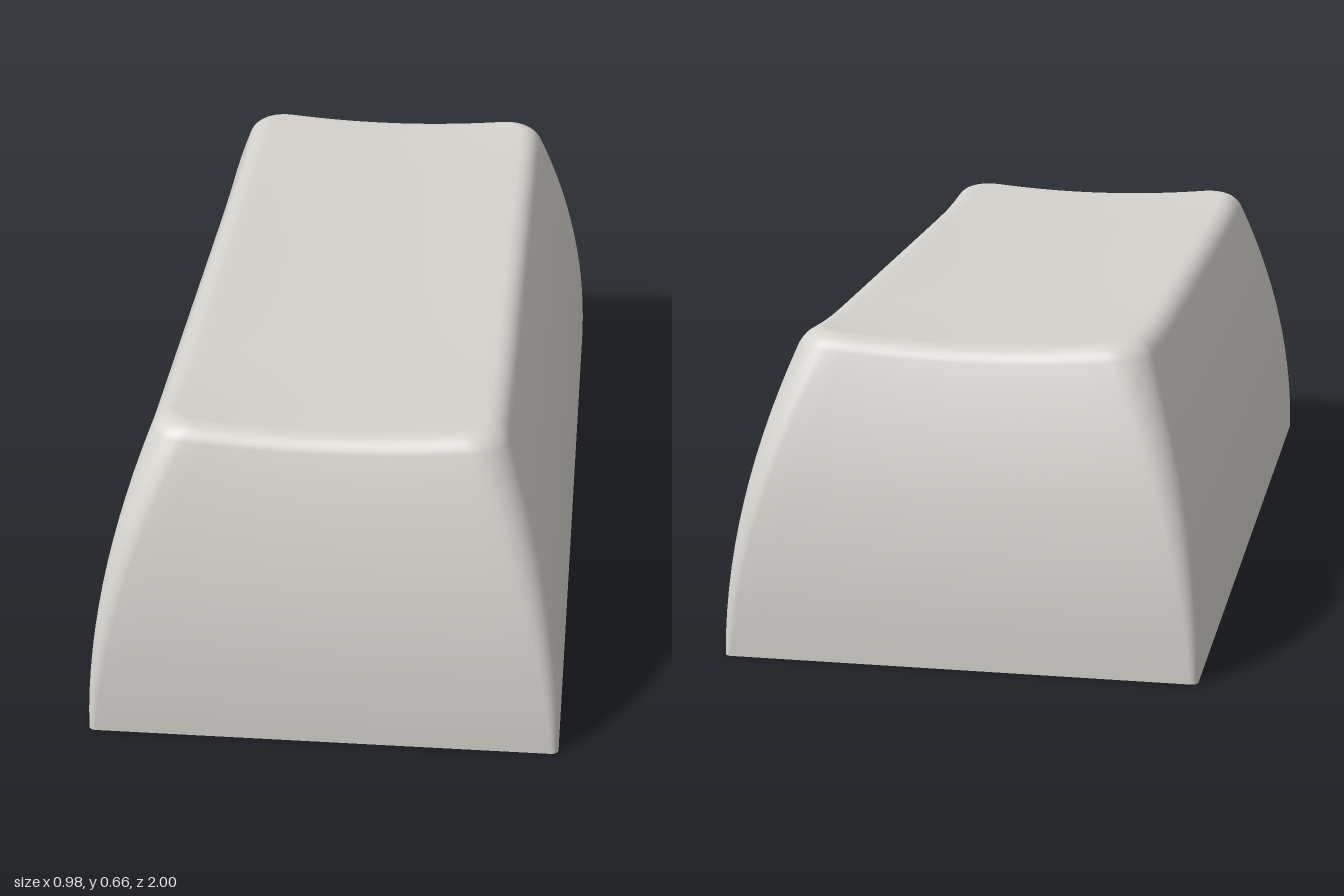
import * as THREE from 'three';
import { toCreasedNormals } from 'three/addons/utils/BufferGeometryUtils.js';

const ARC = 7, SIDE = 16;

// Rounded rectangle in the xz plane, as [x, z] points
function roundedRect(hx, hz, r) {
  const corners = [[1, 1], [-1, 1], [-1, -1], [1, -1]].map(([sx, sz], q) =>
    Array.from({ length: ARC }, (_, i) => {
      const a = (q + i / (ARC - 1)) * Math.PI / 2;
      return [sx * (hx - r) + r * Math.cos(a), sz * (hz - r) + r * Math.sin(a)];
    }));
  const pts = [];
  corners.forEach((arc, q) => {
    pts.push(...arc);
    const a = arc[ARC - 1], b = corners[(q + 1) % 4][0];
    for (let i = 1; i < SIDE; i++) {
      const t = i / SIDE;
      pts.push([a[0] + (b[0] - a[0]) * t, a[1] + (b[1] - a[1]) * t]);
    }
  });
  return pts;
}

// Skin a stack of closed rings of [x, y, z] points
function loft(rings) {
  const n = rings[0].length, index = [];
  for (let i = 0; i < rings.length - 1; i++) {
    for (let j = 0; j < n; j++) {
      const a = i * n + j, b = i * n + (j + 1) % n;
      index.push(a, a + n, b, b, a + n, b + n);
    }
  }
  const g = new THREE.BufferGeometry();
  g.setAttribute('position', new THREE.Float32BufferAttribute(rings.flat(2), 3));
  g.setIndex(index);
  g.computeVertexNormals();
  return g;
}

// Height of the top: raised corners and a shallow dish
function topHeight(x, z) {
  const u = Math.min(1, Math.abs(x) / 0.32);
  const w = Math.min(1, Math.max(0, (Math.abs(z) - 0.5) / 0.33));
  const dish = 0.01 * (1 - u * u) * (1 - Math.min(1, (z / 0.83) ** 2));
  return 0.64 + 0.02 * u * u * w * w - dish;
}

// Bowed sides, a rounded upper edge, then the dished top
function shellGeometry() {
  const rings = [];
  const sideRing = (y) => {
    const k = (y / 0.65) ** 2, bow = 0.14 * k;
    return roundedRect(0.49 - bow, 1 - bow, 0.015 + 0.065 * y / 0.65);
  };
  const edge = roundedRect(0.352, 0.862, 0.08);
  const inset = roundedRect(0.318, 0.828, 0.05);
  const rim = inset.map(([x, z]) => topHeight(x, z));
  const start = 0.61;
  for (let i = 0; i <= 14; i++) {
    const t = i / 14;
    rings.push(sideRing(start * t).map(([x, z], j) => [x, (rim[j] - 0.03) * t, z]));
  }
  const base = rings[rings.length - 1];
  for (let i = 1; i <= 6; i++) {
    const t = i / 6, a = (1 - t) ** 2, b = 2 * t * (1 - t), c = t * t;
    rings.push(base.map((p, j) => [
      a * p[0] + b * edge[j][0] + c * inset[j][0],
      a * p[1] + (b + c) * rim[j],
      a * p[2] + b * edge[j][1] + c * inset[j][1],
    ]));
  }
  for (let i = 11; i >= 0; i--) {
    const s = i / 12;
    rings.push(inset.map(([x, z]) => [x * s, topHeight(x * s, z * s), z * s]));
  }
  return loft(rings);
}

// Tapered hollow underneath, with the flat bottom rim
function cavityGeometry() {
  const ring = (hx, hz, r, y) => roundedRect(hx, hz, r).map(([x, z]) => [x, y, z]);
  const ceiling = ring(0.33, 0.84, 0.004, 0.47);
  return toCreasedNormals(loft([
    ceiling.map(() => [0, 0.47, 0]),
    ceiling,
    ring(0.427, 0.937, 0.004, 0),
    ring(0.49, 1, 0.015, 0),
  ]), 0.5);
}

// Round post with a cross-shaped socket
function stemGeometry() {
  const shape = new THREE.Shape().absarc(0, 0, 0.147, 0, Math.PI * 2);
  const l = 0.108, w = 0.033;
  const cross = [[l, -w], [l, w], [w, w], [w, l], [-w, l], [-w, w],
    [-l, w], [-l, -w], [-w, -w], [-w, -l], [w, -l], [w, -w]];
  shape.holes.push(new THREE.Path(cross.map(([x, y]) => new THREE.Vector2(x, y))));
  const g = new THREE.ExtrudeGeometry(shape, { depth: 0.475, bevelEnabled: false, curveSegments: 20 });
  g.rotateX(-Math.PI / 2);
  return toCreasedNormals(g, 0.5);
}

export function createModel() {
  const group = new THREE.Group();
  group.name = 'keycap';
  const plastic = new THREE.MeshStandardMaterial({ color: 0xd4d2cc });
  plastic.name = 'light grey plastic';
  const add = (name, geometry, z = 0) => {
    const mesh = new THREE.Mesh(geometry, plastic);
    mesh.name = name;
    mesh.position.z = z;
    group.add(mesh);
  };
  add('outerShell', shellGeometry());
  add('innerCavity', cavityGeometry());
  const stem = stemGeometry();
  add('backStem', stem, -0.635);
  add('middleStem', stem);
  add('frontStem', stem, 0.635);
  return group;
}
